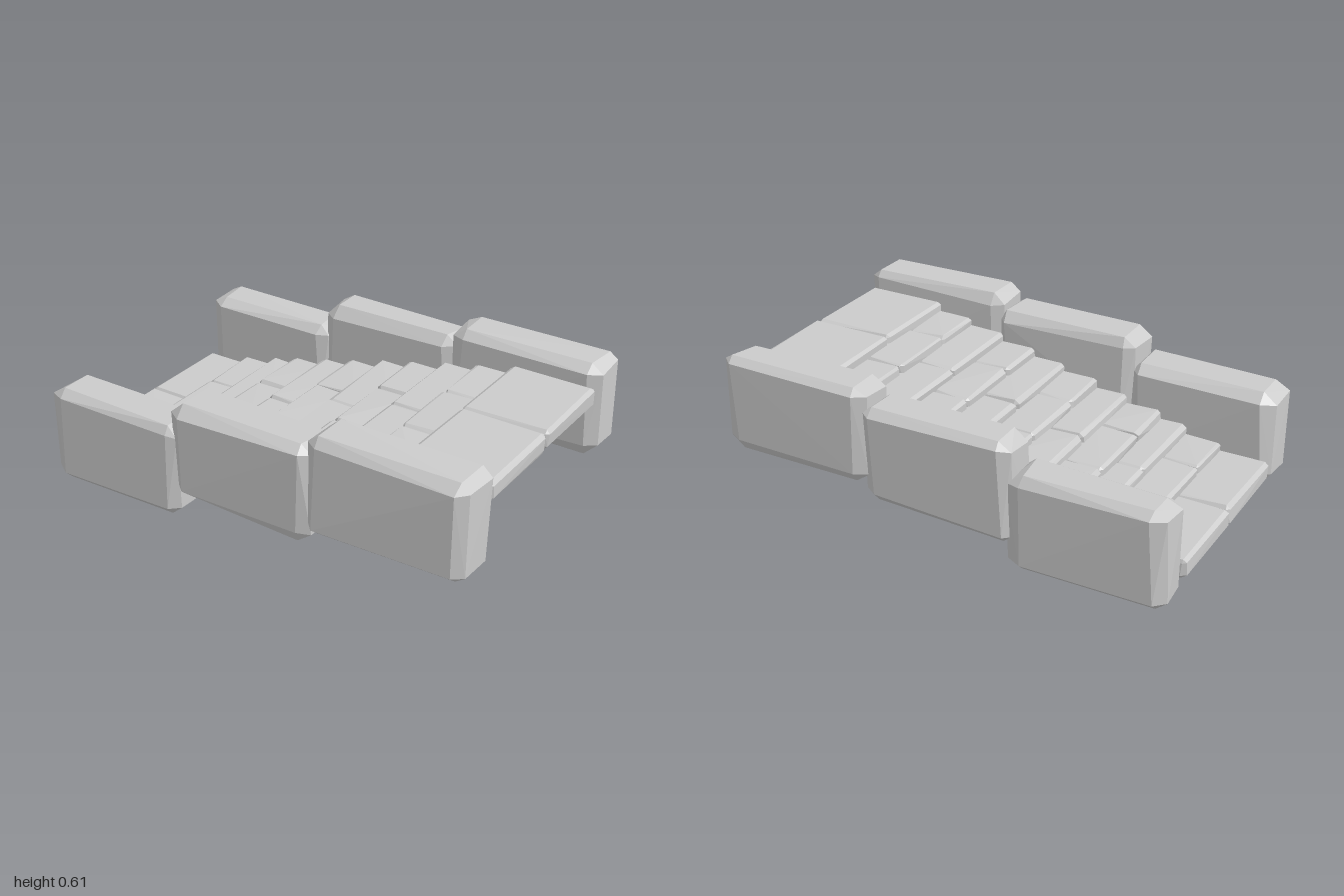
import * as THREE from 'three';
import { ConvexGeometry } from 'three/addons/geometries/ConvexGeometry.js';

const material = new THREE.MeshStandardMaterial({ color: 0xcccccc, flatShading: true });

// Small seeded generator, 0..1
let seed = 7;
function rand() {
  seed = (seed * 16807) % 2147483647;
  return seed / 2147483647;
}

// Rough hewn stone: a box with unevenly chamfered corners, hull of three points per corner
function stone(name, [x0, x1], [y0, y1], [z0, z1], chamfer, wobble) {
  const lo = [x0, y0, z0], hi = [x1, y1, z1];
  const points = [];
  for (let corner = 0; corner < 8; corner++) {
    const c = chamfer.map((v) => v * (0.7 + 0.6 * rand()));
    for (let axis = 0; axis < 3; axis++) {
      const p = [0, 1, 2].map((k) => {
        const inset = (k === axis ? 0 : c[k]) + wobble * rand();
        return (corner >> k) & 1 ? hi[k] - inset : lo[k] + inset;
      });
      points.push(new THREE.Vector3(...p));
    }
  }
  const mesh = new THREE.Mesh(new ConvexGeometry(points), material);
  mesh.name = name;
  return mesh;
}

export function createModel() {
  seed = 7;
  const model = new THREE.Group();
  model.name = 'stoneStairs';

  // Side walls: three big blocks on each side, climbing toward +x
  const blocks = [
    { x: [-1, -0.325], y: [0, 0.432] },
    { x: [-0.36, 0.325], y: [0.11, 0.55] },
    { x: [0.295, 1], y: [0.18, 0.615] },
  ];
  const walls = { frontWall: [0.42, 0.655], backWall: [-0.66, -0.45] };
  for (const [name, z] of Object.entries(walls)) {
    const wall = new THREE.Group();
    wall.name = name;
    for (const { x, y } of blocks) {
      wall.add(stone('wallBlock', x, y, z, [0.05, 0.04, 0.035], 0.012));
    }
    model.add(wall);
  }

  // Treads: two-stone rows alternate with three-stone rows half a step higher
  const treads = new THREE.Group();
  treads.name = 'treads';
  const starts = [-1, -0.625, -0.345, -0.035, 0.275, 0.6];
  const ends = [-0.63, -0.33, -0.02, 0.29, 0.61, 0.985];
  const twoStones = [[-0.455, -0.008], [-0.016, 0.43]];
  const threeStones = [[-0.45, -0.158], [-0.165, 0.178], [0.17, 0.425]];
  starts.forEach((x, i) => {
    const y = 0.048 + 0.0775 * i;
    for (const z of twoStones) {
      treads.add(stone('tread', [x, ends[i]], [y, y + 0.093], z, [0.016, 0.014, 0.014], 0.008));
    }
    if (i === 5) return;
    const mid = starts[i + 1] - 0.16;
    for (const z of threeStones) {
      treads.add(stone('middleTread', [mid, ends[i] + 0.03], [y + 0.05, y + 0.132], z, [0.014, 0.012, 0.012], 0.008));
    }
  });
  model.add(treads);
  return model;
}
